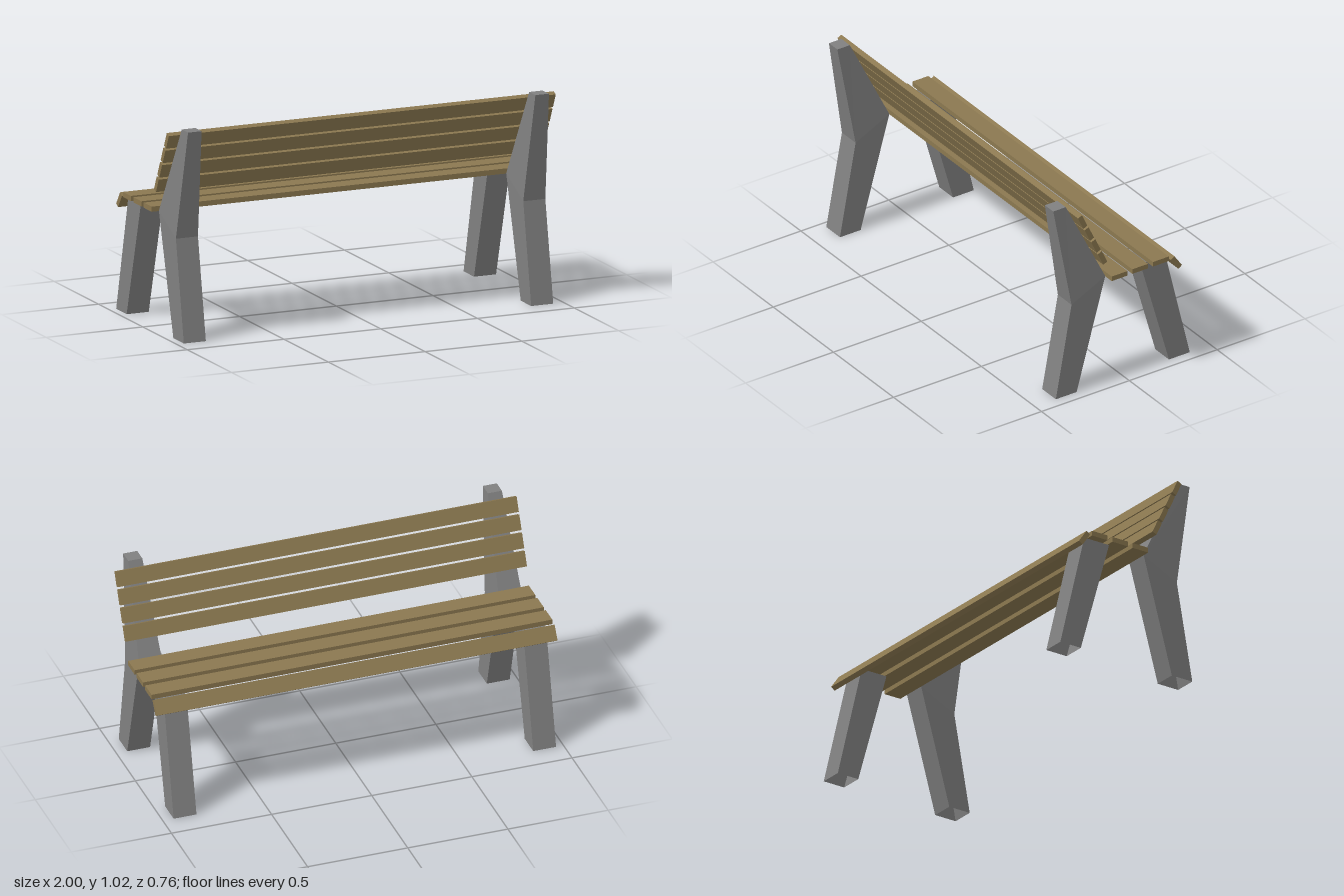
import * as THREE from 'three';

const wood = new THREE.MeshStandardMaterial({ color: 0x8b7850 });
const concrete = new THREE.MeshStandardMaterial({ color: 0x808080, flatShading: true, side: THREE.DoubleSide });

// Four-sided post through sections [half width, front z, front y, back z, back y], open at the foot
function postGeometry(sections) {
  const rings = sections.map(([w, fz, fy, bz, by]) => [
    [-w, by, bz], [w, by, bz], [w, fy, fz], [-w, fy, fz],
  ]);
  const pos = [];
  const quad = (a, b, c, d) => pos.push(...a, ...b, ...c, ...a, ...c, ...d);
  for (let i = 0; i < rings.length - 1; i++) {
    for (let j = 0; j < 4; j++) {
      const k = (j + 1) % 4;
      quad(rings[i][j], rings[i][k], rings[i + 1][k], rings[i + 1][j]);
    }
  }
  quad(...rings[rings.length - 1]);
  const geometry = new THREE.BufferGeometry();
  geometry.setAttribute('position', new THREE.Float32BufferAttribute(pos, 3));
  geometry.computeVertexNormals();
  return geometry;
}

export function createModel() {
  const bench = new THREE.Group();
  bench.name = 'bench';

  // Posts: the rear ones bend at seat height and taper to carry the backrest
  const rearPost = postGeometry([
    [0.057, 0.263, 0, 0.381, 0],
    [0.057, 0.1, 0.58, 0.292, 0.487],
    [0.035, 0.31, 1.017, 0.381, 1.017],
  ]);
  const frontLeg = postGeometry([
    [0.057, -0.381, 0, -0.263, 0],
    [0.057, -0.243, 0.577, -0.1, 0.577],
  ]);
  for (const [side, x] of [['right', -0.906], ['left', 0.889]]) {
    for (const [name, geometry] of [['RearPost', rearPost], ['FrontLeg', frontLeg]]) {
      const post = new THREE.Mesh(geometry, concrete);
      post.name = side + name;
      post.position.x = x;
      bench.add(post);
    }
  }

  // Slats: dz, dy give the direction of the width
  function addSlat(name, z, y, width, dz = 1, dy = 0) {
    const slat = new THREE.Mesh(new THREE.BoxGeometry(2, 0.025, width), wood);
    slat.name = name;
    slat.position.set(0, y, z);
    slat.rotation.x = Math.atan2(-dy, dz);
    bench.add(slat);
  }

  // Seat, with its front slat tipped down
  [0.055, -0.062, -0.18].forEach((z, i) => addSlat('seatSlat' + (i + 1), z, 0.591, 0.09));
  addSlat('seatFrontSlat', -0.268, 0.556, 0.076, 0.57, 0.82);

  // Backrest
  for (let i = 0; i < 4; i++) {
    addSlat('backSlat' + (i + 1), 0.152 + i * 0.0378, 0.723 + i * 0.0783, 0.074, 0.42, 0.91);
  }
  return bench;
}
